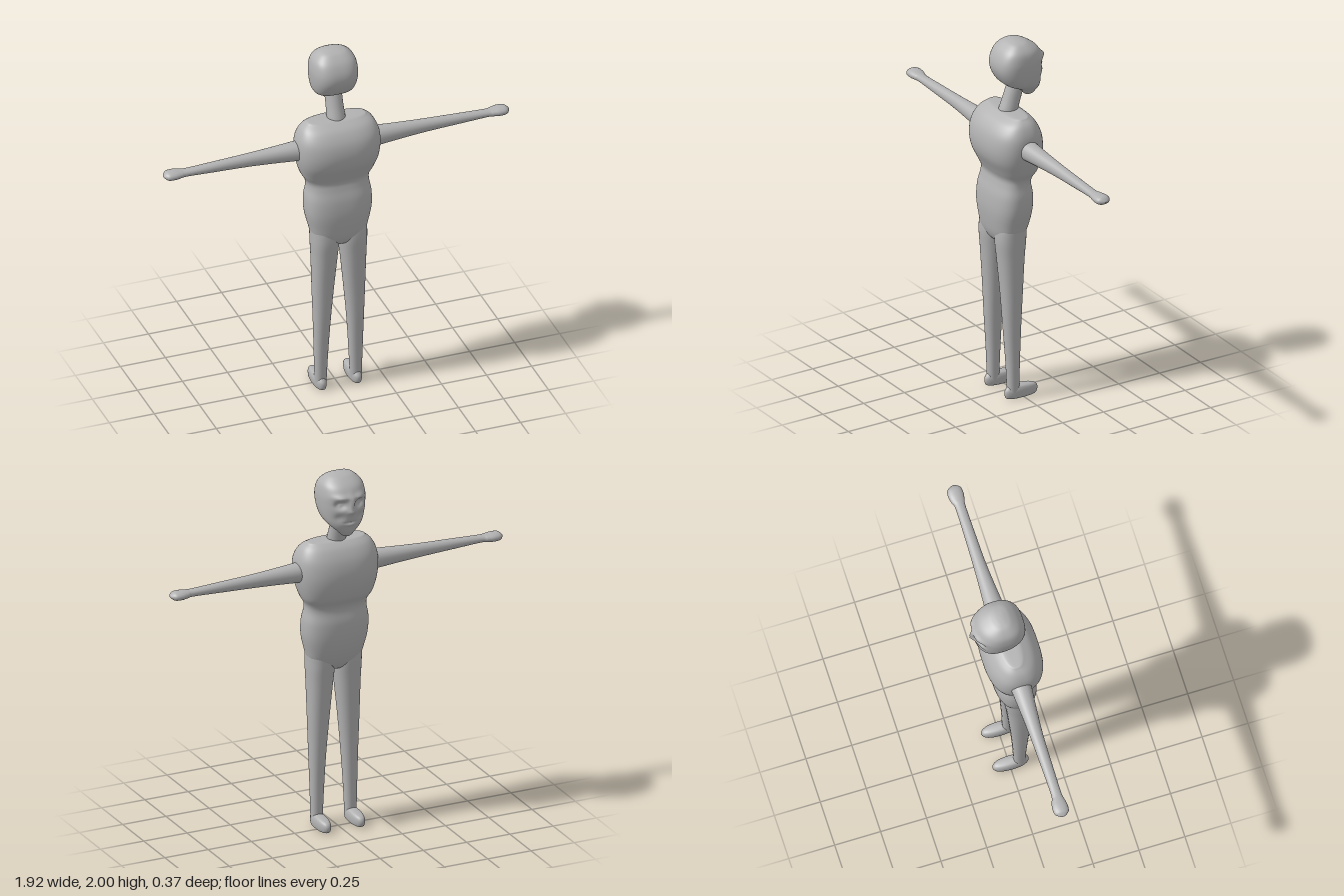
import * as THREE from 'three';

const TAU = Math.PI * 2;

// Catmull-Rom blend of one column
const blend = (a, b, c, d, t) =>
  b + 0.5 * t * (c - a + t * (2 * a - 5 * b + 4 * c - d + t * (3 * (b - c) + d - a)));

// Smooth skin over cross-sections, bottom to top: [y, centreX, halfWidth, zFront, zBack]
function loft(rows, { seg = 40, sub = 5, front = 2.3, back = 2.3, sculpt = null } = {}) {
  const pos = [], index = [];
  const at = i => rows[Math.min(Math.max(i, 0), rows.length - 1)];
  const count = (rows.length - 1) * sub;
  for (let i = 0; i <= count; i++) {
    const k = Math.min(Math.floor(i / sub), rows.length - 2);
    const t = i / sub - k;
    const [y, cx, w, zf, zb] = rows[0].map((_, c) =>
      blend(at(k - 1)[c], at(k)[c], at(k + 1)[c], at(k + 2)[c], t));
    for (let j = 0; j < seg; j++) {
      const a = (j / seg) * TAU, c = Math.cos(a), s = Math.sin(a);
      const e = 2 / (s < 0 ? front : back);
      const p = new THREE.Vector3(
        cx + w * Math.sign(c) * Math.abs(c) ** e,
        y,
        (zf + zb) / 2 + ((zb - zf) / 2) * Math.sign(s) * Math.abs(s) ** e);
      if (sculpt) sculpt(p);
      pos.push(p.x, p.y, p.z);
      if (i < count) {
        const n = (j + 1) % seg, b = i * seg;
        index.push(b + j, b + seg + j, b + n, b + n, b + seg + j, b + seg + n);
      }
    }
  }
  const g = new THREE.BufferGeometry();
  g.setAttribute('position', new THREE.Float32BufferAttribute(pos, 3));
  g.setIndex(index);
  g.computeVertexNormals();
  return g;
}

// Soft bump centred on (cx, cy)
const bump = (p, cx, cy, rx, ry) =>
  Math.exp(-(((p.x - cx) / rx) ** 2) - ((p.y - cy) / ry) ** 2);

// Eye sockets, brow, nose, mouth and cheeks pressed into the face (towards -z)
function sculptFace(p) {
  if (p.z > -0.06) return;
  const ax = { x: Math.abs(p.x), y: p.y };
  p.z += 0.036 * bump(ax, 0.052, 1.862, 0.026, 0.02)
    - 0.014 * bump(ax, 0.05, 1.903, 0.04, 0.013)
    - 0.016 * bump(ax, 0.052, 1.86, 0.012, 0.01)
    - 0.02 * bump(ax, 0, 1.865, 0.016, 0.045)
    - 0.012 * bump(ax, 0, 1.825, 0.018, 0.014)
    + 0.01 * bump(ax, 0.06, 1.79, 0.025, 0.025)
    + 0.007 * bump(ax, 0, 1.762, 0.032, 0.005)
    - 0.005 * bump(ax, 0, 1.748, 0.025, 0.007);
}

export function createModel() {
  const model = new THREE.Group();
  model.name = 'figure';
  const grey = new THREE.MeshStandardMaterial({ color: 0xb2b2b2 });
  grey.name = 'grey';

  const add = (name, geometry) => {
    const mesh = new THREE.Mesh(geometry, grey);
    mesh.name = name;
    model.add(mesh);
    return mesh;
  };

  // Head: square at the back, tapering to the chin
  add('head', loft([
    [1.665, 0, 0, -0.105, -0.09],
    [1.675, 0, 0.025, -0.122, -0.075],
    [1.70, 0, 0.05, -0.138, -0.05],
    [1.73, 0, 0.082, -0.148, -0.01],
    [1.76, 0, 0.104, -0.157, 0.05],
    [1.80, 0, 0.116, -0.163, 0.083],
    [1.85, 0, 0.122, -0.168, 0.102],
    [1.90, 0, 0.122, -0.163, 0.099],
    [1.95, 0, 0.11, -0.135, 0.074],
    [1.985, 0, 0.076, -0.085, 0.035],
    [1.997, 0, 0.04, -0.05, 0.005],
    [2.0, 0, 0, -0.02, -0.02],
  ], { seg: 80, sub: 7, front: 2.2, back: 2.9, sculpt: sculptFace }));

  // Neck, leaning forward
  add('neck', loft([
    [1.57, 0, 0.052, -0.022, 0.085],
    [1.62, 0, 0.049, -0.034, 0.07],
    [1.68, 0, 0.046, -0.053, 0.047],
    [1.78, 0, 0.046, -0.085, 0.012],
  ], { seg: 24, front: 2, back: 2 }));

  // Torso: hips, pinched waist, full chest, flat shoulders
  add('torso', loft([
    [0.87, 0, 0, 0.04, 0.06],
    [0.885, 0, 0.09, 0.0, 0.11],
    [0.93, 0, 0.14, -0.03, 0.137],
    [1.0, 0, 0.162, -0.055, 0.15],
    [1.08, 0, 0.179, -0.069, 0.156],
    [1.16, 0, 0.18, -0.07, 0.149],
    [1.225, 0, 0.169, -0.06, 0.132],
    [1.265, 0, 0.173, -0.068, 0.127],
    [1.31, 0, 0.197, -0.095, 0.145],
    [1.38, 0, 0.218, -0.115, 0.177],
    [1.45, 0, 0.227, -0.119, 0.186],
    [1.52, 0, 0.223, -0.105, 0.172],
    [1.575, 0, 0.2, -0.075, 0.135],
    [1.605, 0, 0.168, -0.042, 0.09],
    [1.614, 0, 0.14, -0.02, 0.065],
    [1.615, 0, 0, 0.02, 0.03],
  ], { seg: 56, front: 2.6, back: 2.7 }));

  for (const [side, s] of [['left', 1], ['right', -1]]) {
    // Arm and mitten hand: lofted upright, then laid out sideways
    const arm = add(side + 'Arm', loft([
      [0.12, 0, 0.058, -0.035, 0.09],
      [0.23, 0, 0.052, -0.026, 0.08],
      [0.36, 0, 0.043, -0.017, 0.068],
      [0.5, 0, 0.035, -0.01, 0.058],
      [0.68, 0, 0.027, -0.005, 0.054],
      [0.83, 0, 0.02, -0.003, 0.052],
      [0.865, 0, 0.021, -0.012, 0.057],
      [0.9, 0, 0.024, -0.02, 0.063],
      [0.935, 0, 0.022, -0.016, 0.06],
      [0.953, 0, 0.01, 0.003, 0.042],
      [0.96, 0, 0, 0.02, 0.024],
    ], { seg: 28, front: 2.1, back: 2.1 }).rotateZ(-s * Math.PI / 2));
    arm.position.y = 1.452;

    // Leg, tapering to the ankle
    add(side + 'Leg', loft([
      [0.02, s * 0.098, 0.03, 0.022, 0.083],
      [0.2, s * 0.096, 0.036, 0.018, 0.09],
      [0.4, s * 0.0925, 0.0445, 0.01, 0.103],
      [0.6, s * 0.087, 0.056, -0.001, 0.114],
      [0.8, s * 0.08, 0.068, -0.014, 0.129],
      [0.92, s * 0.0765, 0.0755, -0.025, 0.137],
      [1.02, s * 0.075, 0.07, -0.02, 0.12],
      [1.1, s * 0.075, 0, 0.05, 0.06],
    ], { seg: 32, front: 2.4, back: 2.4 }));

    // Foot, pointing towards the face side
    add(side + 'Foot', loft([
      [0, s * 0.098, 0, 0, 0.01],
      [0.001, s * 0.098, 0.026, -0.072, 0.085],
      [0.015, s * 0.098, 0.033, -0.09, 0.1],
      [0.04, s * 0.098, 0.034, -0.092, 0.102],
      [0.058, s * 0.098, 0.03, -0.075, 0.092],
      [0.068, s * 0.098, 0.022, -0.03, 0.08],
      [0.075, s * 0.098, 0, 0.04, 0.05],
    ], { seg: 32, front: 2.3, back: 2.3 }));
  }
  return model;
}
